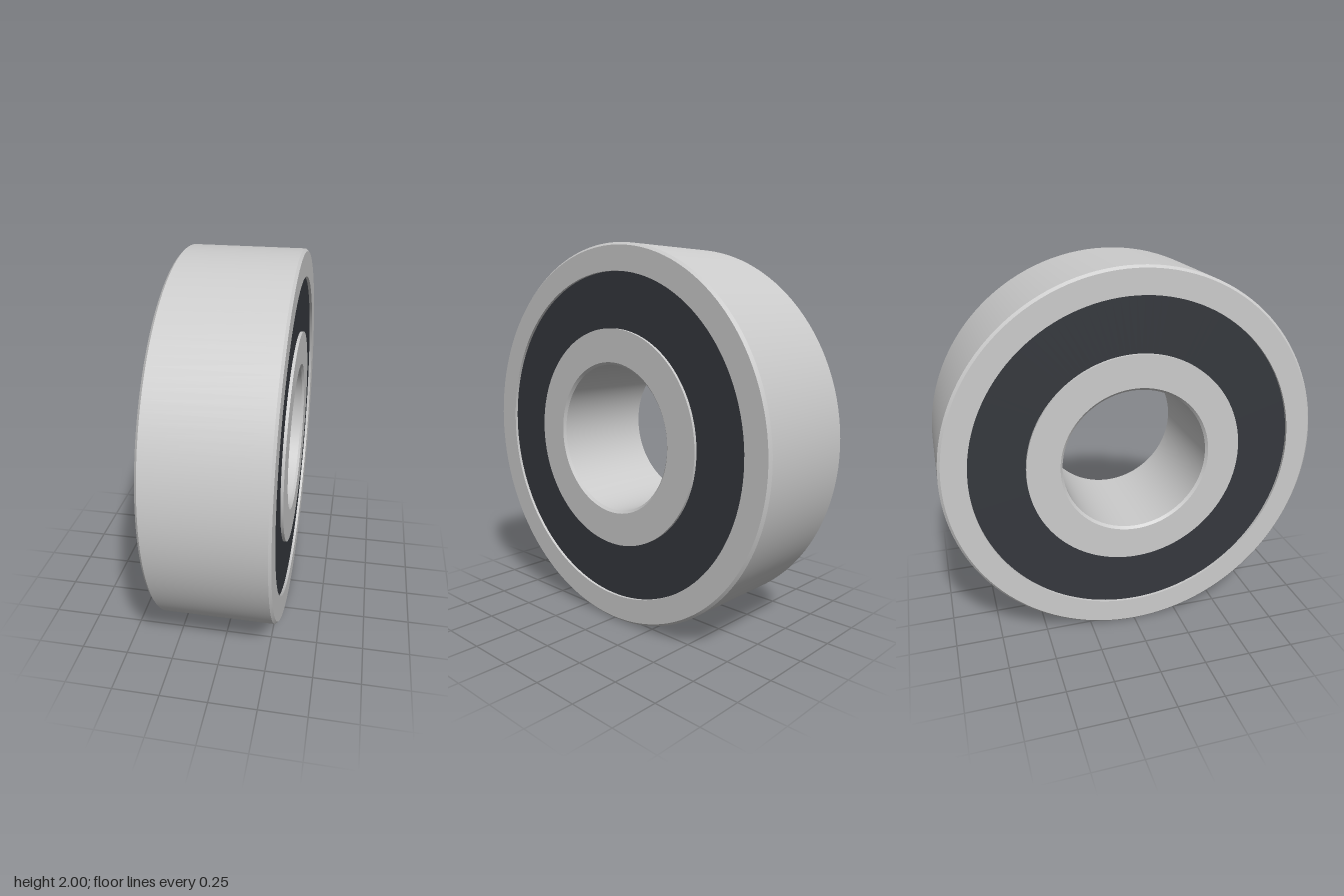
import * as THREE from 'three';
import { toCreasedNormals } from 'three/addons/utils/BufferGeometryUtils.js';

const HALF_WIDTH = 0.3;
const SEGMENTS = 128;

// Solid ring around the x axis, from a closed (radius, x) profile
function ring(name, profile, material) {
  const points = [...profile, profile[0]].map(([r, x]) => new THREE.Vector2(r, x));
  const geometry = toCreasedNormals(new THREE.LatheGeometry(points, SEGMENTS), Math.PI / 6);
  geometry.rotateZ(-Math.PI / 2);
  const mesh = new THREE.Mesh(geometry, material);
  mesh.name = name;
  return mesh;
}

export function createModel() {
  const steel = new THREE.MeshStandardMaterial({ color: 0xcccccc });
  const rubber = new THREE.MeshStandardMaterial({ color: 0x35383d });
  const w = HALF_WIDTH;
  const c = 0.013; // edge chamfer

  const bearing = new THREE.Group();
  bearing.name = 'bearing';

  // Outer race, chamfered on its outer rims
  bearing.add(ring('outerRace', [
    [0.86, -w], [1 - c, -w], [1, -w + c], [1, w - c], [1 - c, w], [0.86, w],
  ], steel));

  // Inner race, chamfered at the bore
  const bore = 0.387;
  bearing.add(ring('innerRace', [
    [bore + c, -w], [0.573, -w], [0.573, w], [bore + c, w], [bore, w - c], [bore, -w + c],
  ], steel));

  // Slightly recessed seals on both sides
  for (const [name, side] of [['leftSeal', 1], ['rightSeal', -1]]) {
    const x0 = side * (w - 0.035) - 0.02;
    const x1 = x0 + 0.04;
    bearing.add(ring(name, [[0.573, x0], [0.86, x0], [0.86, x1], [0.573, x1]], rubber));
  }

  bearing.position.y = 1;
  const model = new THREE.Group();
  model.name = 'ballBearing';
  model.add(bearing);
  return model;
}
